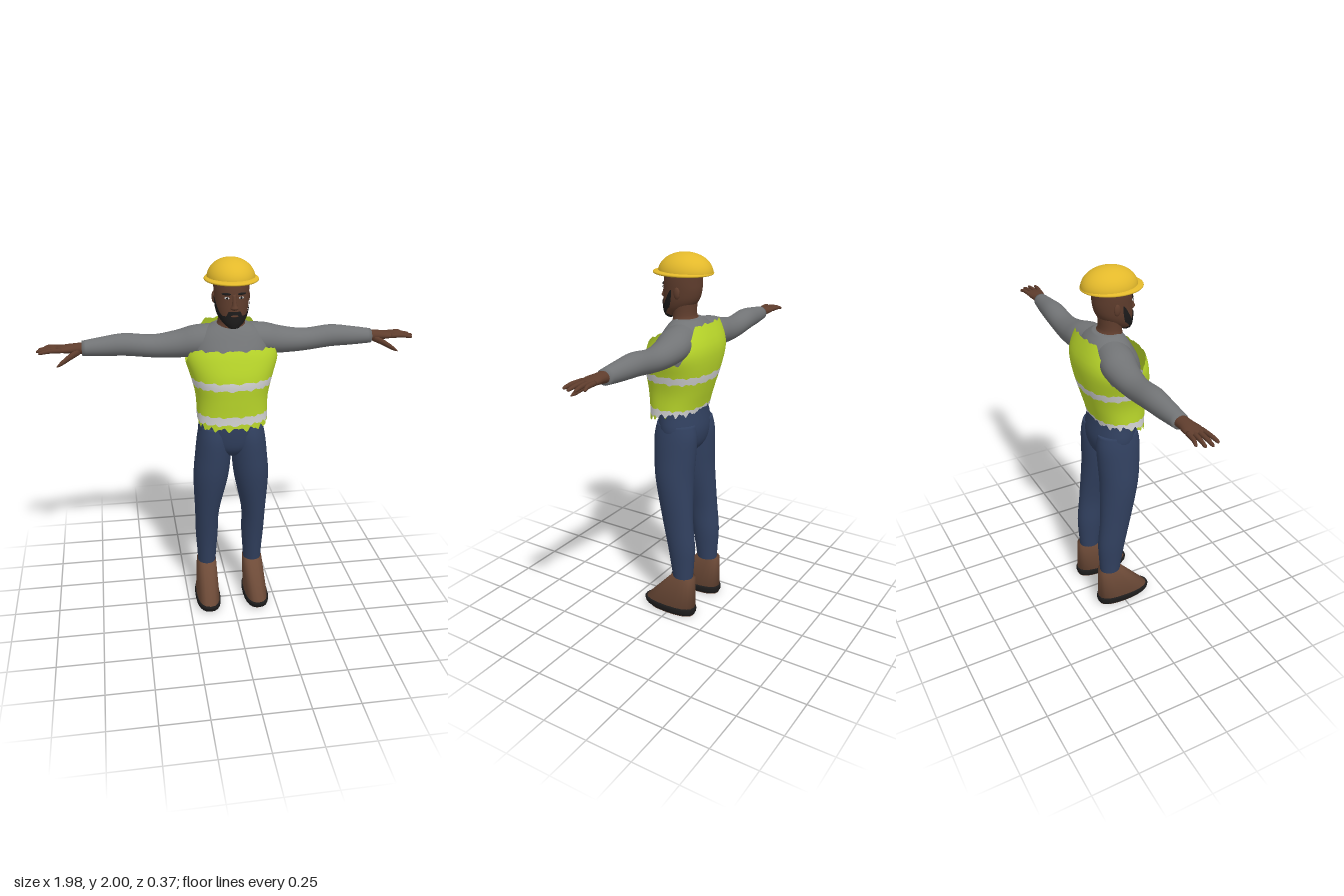
import * as THREE from 'three';

const mat = (name, color, side = THREE.FrontSide) => {
  const m = new THREE.MeshStandardMaterial({ color, side });
  m.name = name;
  return m;
};

// Catmull-Rom smoothing of section keys [t, a, ra, b, rb]
function smooth(keys, steps) {
  const out = [], last = keys.length - 1;
  const k = (i) => keys[Math.min(Math.max(i, 0), last)];
  for (let i = 0; i < last; i++) {
    for (let s = 0; s < steps; s++) {
      const t = s / steps;
      out.push(k(i).map((p1, c) => {
        const p0 = k(i - 1)[c], p2 = k(i + 1)[c], p3 = k(i + 2)[c];
        return 0.5 * (2 * p1 + (p2 - p0) * t + (2 * p0 - 5 * p1 + 4 * p2 - p3) * t * t + (3 * p1 - p0 - 3 * p2 + p3) * t * t * t);
      }));
    }
  }
  out.push(keys[last]);
  return out;
}

const bend = (v, p) => Math.sign(v) * Math.pow(Math.abs(v), p);

function build(points, index) {
  const g = new THREE.BufferGeometry();
  g.setAttribute('position', new THREE.Float32BufferAttribute(points, 3));
  g.setIndex(index);
  g.computeVertexNormals();
  return g;
}

// Closed, capped body through (super)elliptic sections along y or x
function loft(keys, { axis = 'y', n = 24, steps = 4, pow = 1 } = {}) {
  const rows = smooth(keys, steps), pts = [], idx = [];
  const add = ([t, a, ra, b, rb], c, s) =>
    axis === 'y' ? pts.push(a + ra * c, t, b + rb * s) : pts.push(t, a + ra * s, b + rb * c);
  rows.forEach((r) => {
    for (let j = 0; j < n; j++) {
      const th = (j / n) * Math.PI * 2;
      add(r, bend(Math.cos(th), pow), bend(Math.sin(th), pow));
    }
  });
  const last = rows.length - 1, c0 = rows.length * n;
  add(rows[0], 0, 0);
  add(rows[last], 0, 0);
  for (let j = 0; j < n; j++) {
    const k = (j + 1) % n;
    for (let i = 0; i < last; i++) {
      const a = i * n + j, b = i * n + k, c = b + n, d = a + n;
      idx.push(a, d, c, a, c, b);
    }
    idx.push(c0, j, k, c0 + 1, last * n + k, last * n + j);
  }
  return build(pts, idx);
}

// Section of a profile at height y
function sectionAt(rows, y) {
  let i = 0;
  while (i < rows.length - 2 && rows[i + 1][0] < y) i++;
  const t = THREE.MathUtils.clamp((y - rows[i][0]) / (rows[i + 1][0] - rows[i][0]), 0, 1);
  return rows[i].map((v, c) => v + (rows[i + 1][c] - v) * t);
}

// Open shell following a profile between two edge curves low(th), high(th)
function shell(rows, low, high, { from = 0, to = Math.PI * 2, n = 144, m = 8, pow = 1, grow = 0 } = {}) {
  const pts = [], idx = [];
  for (let i = 0; i <= m; i++) {
    for (let j = 0; j <= n; j++) {
      const th = from + ((to - from) * j) / n;
      const y = low(th) + ((high(th) - low(th)) * i) / m;
      const [, a, ra, b, rb] = sectionAt(rows, y);
      pts.push(a + (ra + grow) * bend(Math.cos(th), pow), y, b + (rb + grow) * bend(Math.sin(th), pow));
      if (i < m && j < n) {
        const p = i * (n + 1) + j, q = p + n + 1;
        idx.push(p, q, q + 1, p, q + 1, p + 1);
      }
    }
  }
  return build(pts, idx);
}

function mirrored(geo) {
  const g = geo.clone(), p = g.attributes.position, ix = g.index.array;
  for (let i = 0; i < p.count; i++) p.setX(i, -p.getX(i));
  for (let i = 0; i < ix.length; i += 3) [ix[i + 1], ix[i + 2]] = [ix[i + 2], ix[i + 1]];
  g.computeVertexNormals();
  return g;
}

export function createModel() {
  const model = new THREE.Group();
  model.name = 'constructionWorker';
  const skin = mat('skin', 0x5f3d2d);
  const yellow = mat('helmetYellow', 0xe3b92b);
  const lime = mat('vestLime', 0xbcda2b, THREE.DoubleSide);
  const silver = mat('reflectiveBand', 0xd6d6d6, THREE.DoubleSide);
  const grey = mat('sweaterGrey', 0x727476);
  const denim = mat('trouserBlue', 0x31405f);
  const leather = mat('bootBrown', 0x6e4b38);
  const black = mat('black', 0x1d1c1c, THREE.DoubleSide);

  const add = (name, geo, material) => {
    const mesh = new THREE.Mesh(geo, material);
    mesh.name = name;
    model.add(mesh);
    return mesh;
  };
  const pair = (name, geo, material) => {
    add(name + 'Left', geo, material);
    add(name + 'Right', mirrored(geo), material);
  };

  // Helmet
  const dome = new THREE.SphereGeometry(1, 40, 14, 0, Math.PI * 2, 0, Math.PI / 2);
  dome.scale(0.122, 0.1, 0.146).translate(0, 1.9, -0.003);
  add('helmetDome', dome, yellow);
  add('helmetBrim', loft([[1.892, 0, 0.13, 0.01, 0.153], [1.896, 0, 0.137, 0.01, 0.161],
    [1.904, 0, 0.135, 0.01, 0.158], [1.91, 0, 0.118, 0, 0.142]], { n: 40 }), yellow);

  // Head and neck
  const headKeys = [[1.67, 0, 0.025, 0.085, 0.022], [1.69, 0, 0.05, 0.062, 0.052], [1.72, 0, 0.07, 0.04, 0.077],
    [1.76, 0, 0.082, 0.022, 0.096], [1.81, 0, 0.087, 0.013, 0.103], [1.86, 0, 0.09, 0.01, 0.103], [1.92, 0, 0.088, 0.005, 0.1]];
  const headRows = smooth(headKeys, 6);
  add('head', loft(headKeys, { n: 32 }), skin);
  add('neck', loft([[1.58, 0, 0.11, -0.02, 0.085], [1.655, 0, 0.082, -0.01, 0.07],
    [1.69, 0, 0.068, 0, 0.06], [1.78, 0, 0.068, 0, 0.065]]), skin);
  add('nose', loft([[1.762, 0, 0.012, 0.11, 0.012], [1.772, 0, 0.021, 0.116, 0.024],
    [1.79, 0, 0.013, 0.115, 0.02], [1.84, 0, 0.01, 0.105, 0.014]], { n: 12 }), skin);
  const ear = new THREE.SphereGeometry(1, 12, 10);
  ear.scale(0.01, 0.03, 0.018).translate(0.088, 1.805, -0.005);
  pair('ear', ear, skin);

  // Beard with sideburns and moustache
  const step = THREE.MathUtils.smoothstep;
  const beardTop = (th) => {
    const s = Math.sin(th);
    return 1.732 + 0.09 * (1 - step(s, 0.12, 0.72)) + 0.024 * step(s, 0.86, 0.95);
  };
  const beardLow = (th) => 1.668 + 0.06 * (1 - step(Math.sin(th), 0.1, 0.6));
  add('beard', shell(headRows, beardLow, beardTop, { from: 0.12, to: Math.PI - 0.12, n: 48, grow: 0.005 }), black);
  add('beardUnderside', loft([[1.664, 0, 0.02, 0.085, 0.018], [1.672, 0, 0.03, 0.083, 0.026], [1.69, 0, 0.05, 0.062, 0.053]]), black);
  const lip = new THREE.SphereGeometry(1, 12, 8);
  lip.scale(0.02, 0.005, 0.004).translate(0, 1.734, 0.124);
  add('lips', lip, skin);

  // Eyes and brows
  const face = (sx, sy, x, y, out) => {
    const [, , rx, cz, rz] = sectionAt(headRows, y);
    const g = new THREE.SphereGeometry(1, 14, 8);
    g.scale(sx, sy, 0.004).rotateY(0.4).translate(x, y, cz + rz * Math.sqrt(1 - (x / rx) ** 2) + out);
    return g;
  };
  pair('eyeWhite', face(0.014, 0.006, 0.036, 1.822, 0), silver);
  pair('iris', face(0.006, 0.006, 0.035, 1.822, 0.002), black);
  pair('eyebrow', face(0.024, 0.006, 0.039, 1.842, 0.001), black);

  // Sweater torso and sleeves
  add('sweaterTorso', loft([[1.19, 0, 0.16, 0.015, 0.115], [1.3, 0, 0.165, 0.01, 0.13], [1.42, 0, 0.19, 0, 0.15],
    [1.52, 0, 0.2, -0.01, 0.145], [1.59, 0, 0.185, -0.022, 0.122], [1.635, 0, 0.145, -0.025, 0.098],
    [1.672, 0, 0.077, -0.02, 0.066]], { n: 36 }), grey);
  pair('sleeve', loft([[0.06, 1.57, 0.09, -0.03, 0.09], [0.18, 1.567, 0.082, -0.048, 0.095], [0.28, 1.551, 0.07, -0.06, 0.08],
    [0.4, 1.544, 0.059, -0.064, 0.065], [0.54, 1.559, 0.058, -0.062, 0.061], [0.65, 1.556, 0.05, -0.057, 0.051],
    [0.76, 1.552, 0.038, -0.05, 0.04]], { axis: 'x' }), grey);

  // Hands
  pair('palm', loft([[0.73, 1.553, 0.031, -0.05, 0.034], [0.79, 1.555, 0.026, -0.046, 0.036],
    [0.84, 1.556, 0.02, -0.043, 0.046], [0.885, 1.556, 0.012, -0.043, 0.044]], { axis: 'x', n: 16 }), skin);
  [[0.955, -0.078, -0.092], [0.98, -0.055, -0.062], [0.988, -0.031, -0.03], [0.975, -0.008, 0.004]].forEach(([tip, z0, z1], i) => {
    pair('finger' + (i + 1), loft([[0.86, 1.557, 0.012, z0, 0.0115], [0.92, 1.558, 0.011, (z0 + z1) / 2, 0.0105],
      [tip - 0.01, 1.552, 0.008, z1, 0.008], [tip, 1.55, 0.002, z1, 0.002]], { axis: 'x', n: 10 }), skin);
  });
  pair('thumb', loft([[0.77, 1.545, 0.018, -0.03, 0.016], [0.82, 1.525, 0.017, 0.002, 0.015],
    [0.865, 1.5, 0.012, 0.025, 0.011], [0.888, 1.487, 0.003, 0.036, 0.003]], { axis: 'x', n: 10 }), skin);

  // Ragged safety vest with two reflective bands
  const vest = smooth([[1.1, 0, 0.188, 0.035, 0.128], [1.2, 0, 0.186, 0.028, 0.138], [1.3, 0, 0.191, 0.018, 0.158],
    [1.4, 0, 0.215, 0.008, 0.177], [1.5, 0, 0.243, -0.008, 0.177], [1.57, 0, 0.232, -0.015, 0.165],
    [1.68, 0, 0.19, -0.02, 0.126]], 8);
  const jag = (th, k, amp) => amp * (0.6 * Math.sin(th * 17 + k) + 0.4 * Math.sin(th * 31 + 2 * k));
  const front = (th) => step(Math.sin(th), -0.3, 0.7);
  const hem = (th) => 1.185 - 0.045 * front(th) + jag(th, 1, 0.016);
  const edges = [
    hem,
    (th) => Math.max(hem(th), 1.165 + jag(th, 3, 0.008)),
    (th) => 1.21 + jag(th, 5, 0.006),
    (th) => 1.36 + jag(th, 2, 0.007),
    (th) => 1.4 + jag(th, 4, 0.006),
    (th) => {
      const s = Math.sin(th);
      return 1.475 + 0.085 * step(s, 0.05, 0.65) + 0.185 * step(-s, 0.45, 0.88) + jag(th, 6, 0.007);
    },
  ];
  ['vestHem', 'lowerBand', 'vestWaist', 'upperBand', 'vestChest'].forEach((name, i) =>
    add(name, shell(vest, edges[i], edges[i + 1], { pow: 0.85 }), i % 2 ? silver : lime));

  // Trousers
  add('trouserHips', loft([[0.95, 0, 0.05, 0, 0.07], [1.0, 0, 0.145, 0, 0.108], [1.08, 0, 0.178, 0, 0.124],
    [1.17, 0, 0.168, 0.008, 0.121], [1.25, 0, 0.16, 0.012, 0.115]], { n: 36 }), denim);
  pair('trouserLeg', loft([[0.21, 0.134, 0.05, -0.07, 0.056], [0.3, 0.133, 0.055, -0.066, 0.067], [0.42, 0.133, 0.063, -0.058, 0.08],
    [0.58, 0.132, 0.068, -0.034, 0.09], [0.8, 0.113, 0.095, -0.005, 0.108], [0.94, 0.1, 0.097, 0, 0.118],
    [1.05, 0.092, 0.092, 0, 0.122], [1.12, 0.085, 0.085, 0, 0.11]]), denim);

  // Boots with dark soles
  pair('boot', loft([[0.04, 0.14, 0.065, 0.012, 0.158], [0.23, 0.135, 0.056, -0.073, 0.067]], { n: 20, steps: 1, pow: 0.8 }), leather);
  pair('sole', loft([[0.005, 0.14, 0.062, 0, 0.145], [0.018, 0.14, 0.07, 0.008, 0.158],
    [0.04, 0.14, 0.071, 0.012, 0.163], [0.048, 0.14, 0.066, 0.012, 0.159]], { pow: 0.8 }), black);
  pair('soleTread', loft([[0, 0.14, 0.06, 0, 0.143], [0.006, 0.14, 0.062, 0, 0.145]], { steps: 1, pow: 0.8 }), leather);

  return model;
}
